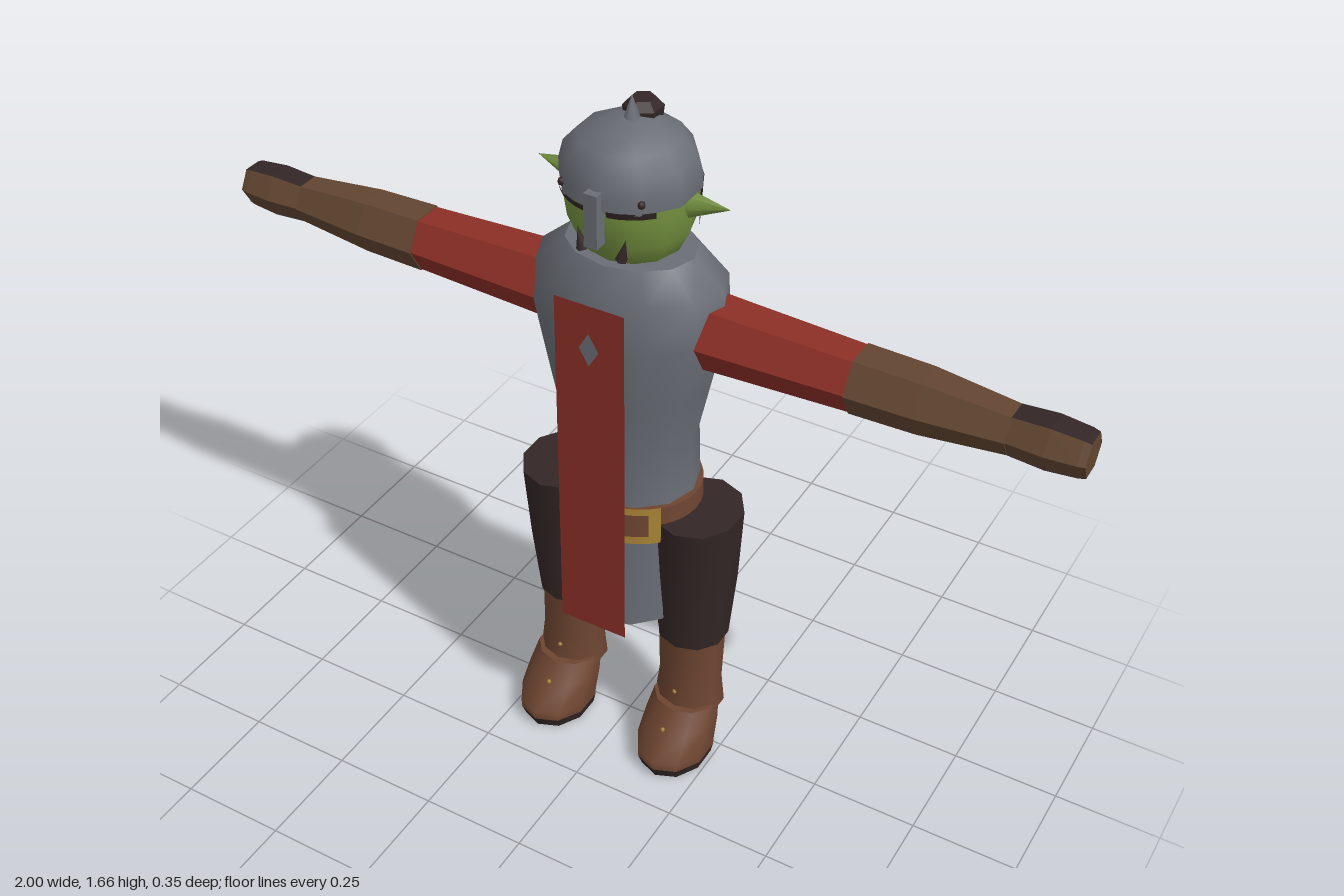
import * as THREE from 'three';

const mat = (name, color, side = THREE.FrontSide) => {
  const m = new THREE.MeshStandardMaterial({ color, side });
  m.name = name;
  return m;
};

// Loft of elliptical rings [y, rx, rz, x, z], from bottom to top.
// from/to pick a range of sides, so a partial band can be made.
function loft(rings, seg, { from = 0, to = seg, flat = false, cap = true } = {}) {
  const pos = [], idx = [], full = to - from === seg;
  const n = full ? seg : to - from + 1, count = to - from;
  const addRing = ([y, rx, rz, x = 0, z = 0]) => {
    const start = pos.length / 3;
    for (let j = 0; j < n; j++) {
      const a = (from + j) / seg * Math.PI * 2;
      pos.push(x + Math.sin(a) * rx, y, z + Math.cos(a) * rz);
    }
    return start;
  };
  const starts = rings.map(addRing);
  for (let i = 0; i + 1 < rings.length; i++) {
    for (let j = 0; j < count; j++) {
      const k = (j + 1) % n, a = starts[i], b = starts[i + 1];
      idx.push(a + j, a + k, b + k, a + j, b + k, b + j);
    }
  }
  if (cap && full) {
    [rings[0], rings[rings.length - 1]].forEach((r, top) => {
      const s = addRing(r), c = pos.length / 3;
      pos.push(r[3] || 0, r[0], r[4] || 0);
      for (let j = 0; j < count; j++) {
        const k = (j + 1) % n;
        if (top) idx.push(c, s + j, s + k);
        else idx.push(c, s + k, s + j);
      }
    });
  }
  let g = new THREE.BufferGeometry();
  g.setAttribute('position', new THREE.Float32BufferAttribute(pos, 3));
  g.setIndex(idx);
  if (flat) g = g.toNonIndexed();
  g.computeVertexNormals();
  return g;
}

export function createModel() {
  const root = new THREE.Group();
  root.name = 'armouredFighter';
  const skin = mat('green skin', 0x728f3e);
  const steel = mat('grey steel', 0x6a6e75, THREE.DoubleSide);
  const red = mat('red cloth', 0x8c2f26, THREE.DoubleSide);
  const leather = mat('brown leather', 0x6e4531);
  const glove = mat('dull brown leather', 0x624531);
  const dark = mat('dark cloth', 0x332626, THREE.DoubleSide);
  const gold = mat('brass', 0xa98436, THREE.DoubleSide);

  const add = (name, geo, material, x = 0, y = 0, z = 0, parent = root) => {
    const m = new THREE.Mesh(geo, material);
    m.name = name;
    m.position.set(x, y, z);
    parent.add(m);
    return m;
  };

  // Tunic with flared skirt
  add('tunic', loft([
    [0.405, 0.143, 0.148], [0.70, 0.158, 0.141], [0.76, 0.155, 0.139],
    [0.87, 0.15, 0.139], [1.02, 0.185, 0.152], [1.17, 0.218, 0.165],
    [1.275, 0.215, 0.147], [1.335, 0.145, 0.115],
  ].map(r => [...r, 0, -0.006]), 12), steel);

  // Belt and curved buckle frame
  add('belt', loft([[0.657, 0.167, 0.145], [0.745, 0.165, 0.142]], 36), leather, 0, 0, -0.004);
  const band = (y0, y1, from, to) =>
    loft([[y0, 0.169, 0.147], [y1, 0.169, 0.147]], 36, { from, to });
  const buckle = new THREE.Group();
  buckle.name = 'buckle';
  root.add(buckle);
  [[0.732, 0.75, -5, 5], [0.652, 0.672, -5, 5], [0.652, 0.75, -5, -4], [0.652, 0.75, 4, 5]]
    .forEach(b => add('buckleBar', band(...b), gold, 0, 0, -0.004, buckle));

  // Hanging front cloth with a diamond
  add('tabard', new THREE.PlaneGeometry(0.164, 0.865), red, 0, 0.838, 0.165);
  const diamond = new THREE.CircleGeometry(0.04, 4).scale(0.58, 1, 1);
  add('tabardDiamond', diamond, steel, 0, 1.165, 0.168);

  // Head
  add('head', loft([
    [1.325, 0.085, 0.08], [1.345, 0.11, 0.1], [1.39, 0.132, 0.122],
    [1.45, 0.14, 0.131], [1.52, 0.135, 0.128],
  ].map(r => [...r, 0, -0.004]), 12), skin);
  add('backHair', loft([[1.39, 0.14, 0.134], [1.49, 0.146, 0.138]], 24, { from: 7, to: 17 }),
    dark, 0, 0, -0.004);

  // Helmet, topknot, spike and nose guard
  add('helmet', loft([
    [1.478, 0.147, 0.143], [1.51, 0.148, 0.141], [1.55, 0.138, 0.131],
    [1.583, 0.108, 0.108], [1.607, 0.055, 0.06], [1.613, 0.02, 0.02],
  ], 10), steel);
  add('topknot', loft([
    [1.585, 0.038, 0.038], [1.62, 0.042, 0.042], [1.637, 0.026, 0.026],
  ], 6, { flat: true }), dark, 0, 0, -0.05);
  add('helmetSpike', new THREE.ConeGeometry(0.022, 0.065, 6), steel, 0, 1.63, -0.006);
  add('noseGuard', new THREE.BoxGeometry(0.03, 0.12, 0.03), steel, 0, 1.46, 0.14);

  for (const s of [1, -1]) {
    const side = s > 0 ? 'left' : 'right';

    // Face details
    const ear = add(side + 'Ear', new THREE.ConeGeometry(0.03, 0.1, 6), skin, s * 0.172, 1.462, -0.008);
    ear.rotation.z = -s * 1.43;
    const tusk = add(side + 'Tusk', new THREE.ConeGeometry(0.013, 0.05, 5), dark, s * 0.05, 1.388, 0.112);
    tusk.rotation.z = -s * 0.2;
    add(side + 'Eye', loft([[1.466, 0.143, 0.136], [1.482, 0.146, 0.142]], 36,
      s > 0 ? { from: 1, to: 5 } : { from: -5, to: -1 }), dark);
    add(side + 'HelmetRivet', new THREE.SphereGeometry(0.009, 6, 4), dark, s * 0.09, 1.503, 0.112);

    // Arm: rings run outward along x
    const arm = new THREE.Group();
    arm.name = side + 'Arm';
    root.add(arm);
    const limb = (name, rings, material, opts) => add(name,
      loft(rings.map(([x, r]) => [x, r, r]), 6, { flat: true, ...opts }).rotateZ(-s * Math.PI / 2),
      material, 0, 1.174, -0.009, arm);
    limb(side + 'Sleeve', [[0.18, 0.083], [0.25, 0.08], [0.52, 0.07]], red);
    limb(side + 'Forearm', [[0.515, 0.073], [0.66, 0.07], [0.842, 0.052]], glove);
    const hand = [[0.842, 0.05], [0.92, 0.055], [0.985, 0.049], [1.0, 0.045]];
    limb(side + 'Hand', hand, glove);
    limb(side + 'HandBack', hand.map(([x, r]) => [x, r + 0.002]), dark, { from: 1, to: 5 });

    // Leg
    const leg = new THREE.Group();
    leg.name = side + 'Leg';
    root.add(leg);
    add(side + 'TrouserLeg', loft([
      [0.335, 0.083, 0.083, s * 0.16, -0.013], [0.52, 0.096, 0.098, s * 0.165, -0.009],
      [0.70, 0.1, 0.111, s * 0.17, -0.006],
    ], 10), dark, 0, 0, 0, leg);
    add(side + 'BootShaft', loft([
      [0.125, 0.083, 0.075, s * 0.16, -0.006], [0.2, 0.074, 0.072, s * 0.16, -0.007],
      [0.34, 0.078, 0.079, s * 0.158, -0.012],
    ], 10), leather, 0, 0, 0, leg);
    add(side + 'BootFoot', loft([
      [0.028, 0.087, 0.109, s * 0.163, 0.066], [0.05, 0.088, 0.11, s * 0.163, 0.065],
      [0.1, 0.085, 0.09, s * 0.162, 0.037], [0.145, 0.078, 0.071, s * 0.161, 0.013],
    ], 10), leather, 0, 0, 0, leg);
    add(side + 'BootSole', loft([
      [0, 0.08, 0.102, s * 0.163, 0.062], [0.028, 0.087, 0.109, s * 0.163, 0.066],
    ], 10), dark, 0, 0, 0, leg);
    [[0.187, 0.064], [0.107, 0.118]].forEach(([y, z]) =>
      add(side + 'BootStud', new THREE.SphereGeometry(0.006, 6, 4), gold, s * 0.157, y, z, leg));
  }
  return root;
}
